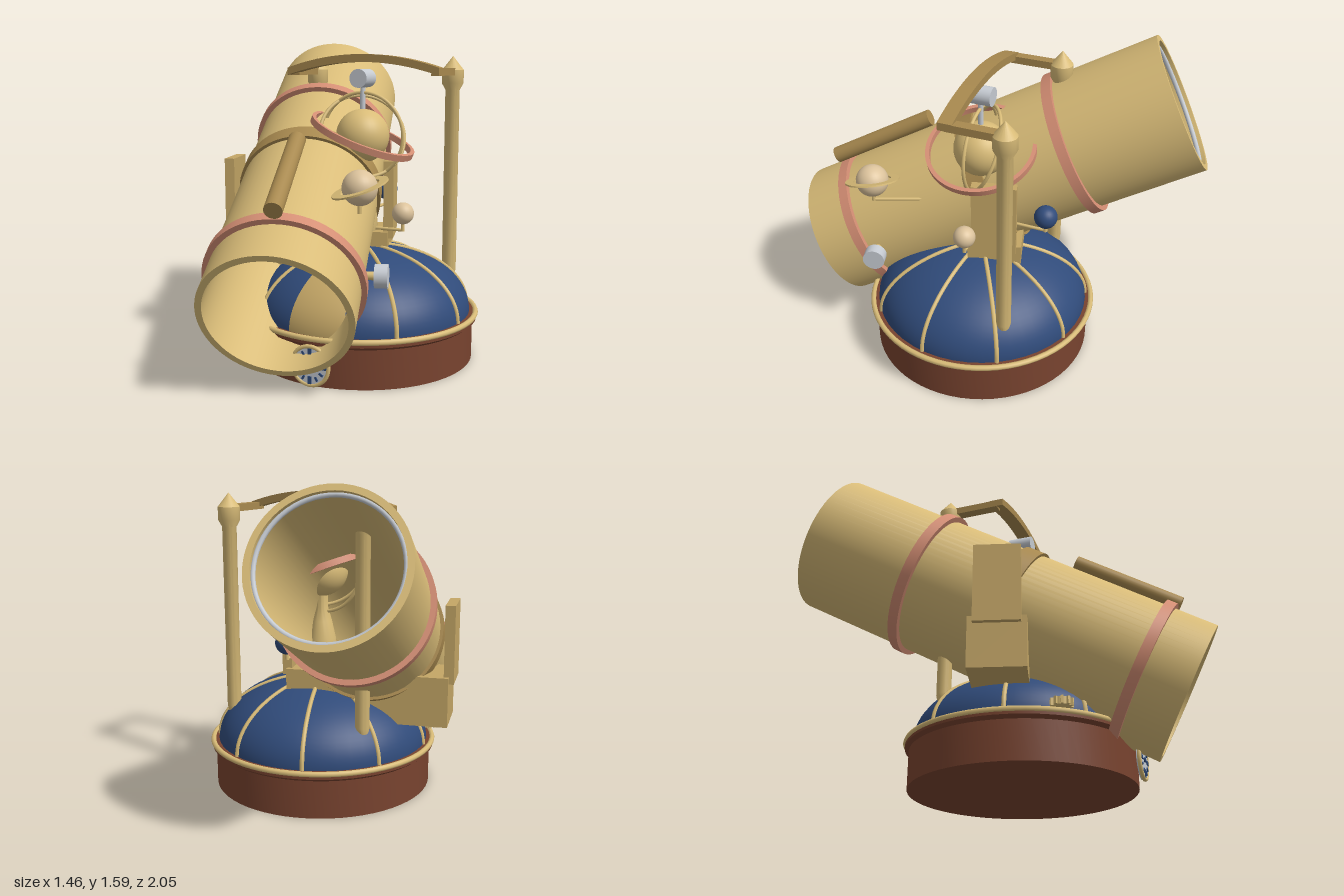
import * as THREE from 'three';
import { toCreasedNormals } from 'three/addons/utils/BufferGeometryUtils.js';

const mat = (name, color, side = THREE.FrontSide) => {
  const m = new THREE.MeshStandardMaterial({ color, side });
  m.name = name;
  return m;
};
const V = (x, y, z) => new THREE.Vector3(x, y, z);

export function createModel() {
  const gold = mat('gold', 0xd9bc78), brass = mat('dark brass', 0xa8894f), bronze = mat('mid brass', 0xc4a666);
  const copper = mat('copper', 0xd48e74), blue = mat('dome blue', 0x304b7a), wood = mat('mahogany', 0x78432f);
  const silver = mat('silver', 0xc6cbd2), cream = mat('cream', 0xdcc39c);

  const model = new THREE.Group();
  model.name = 'observatory';
  const add = (parent, name, geo, material, x = 0, y = 0, z = 0) => {
    const m = new THREE.Mesh(geo, material);
    m.name = name;
    m.position.set(x, y, z);
    parent.add(m);
    return m;
  };
  const group = (name, x, y, z, parent = model) => {
    const g = new THREE.Group();
    g.name = name;
    g.position.set(x, y, z);
    parent.add(g);
    return g;
  };
  const lathe = (pts, seg = 48) =>
    toCreasedNormals(new THREE.LatheGeometry(pts.map(p => new THREE.Vector2(...p)), seg), 0.6);
  // Flat hoop around the y axis
  const hoop = (inner, outer, h, seg = 64) =>
    lathe([[inner, -h / 2], [outer, -h / 2], [outer, h / 2], [inner, h / 2], [inner, -h / 2]], seg);
  const rod = (a, b, r) => new THREE.TubeGeometry(new THREE.LineCurve3(a, b), 1, r, 8);

  // Round base and ribbed dome
  const CX = 0.13;
  const house = group('base', CX, 0, 0);
  add(house, 'drum', lathe([[0, 0], [0.565, 0], [0.565, 0.19], [0.585, 0.205], [0.585, 0.235], [0, 0.235]], 64), wood);
  add(house, 'baseRim', new THREE.TorusGeometry(0.58, 0.014, 8, 72).rotateX(Math.PI / 2), gold, 0, 0.23, 0);
  const DR = 0.55, DH = 0.33, DY = 0.235;
  const domeShell = (phi, len, s) =>
    new THREE.SphereGeometry(1, 48, 20, phi, len, 0, Math.PI / 2).scale(DR * s, DH * s, DR * s);
  add(house, 'dome', domeShell(0, Math.PI * 2, 1), blue, 0, DY, 0);
  // Sphere angle PI/2 points to the front
  add(house, 'domeShutter', domeShell(Math.PI / 2 - 0.26, 0.52, 1.008), bronze, 0, DY, 0);
  for (let i = 1; i < 9; i++) {
    const pts = [];
    for (let k = 0; k <= 12; k++) {
      const t = (k / 12) * Math.PI / 2;
      pts.push(V(0, DH * Math.sin(t), DR * Math.cos(t)));
    }
    const rib = add(house, 'domeRib', new THREE.TubeGeometry(new THREE.CatmullRomCurve3(pts), 24, 0.011, 6), gold, 0, DY, 0);
    rib.rotation.y = i * Math.PI * 2 / 9;
  }

  // Clock dial on the front
  const dial = group('dial', CX, 0.11, 0.595);
  add(dial, 'dialFace', new THREE.CylinderGeometry(0.092, 0.092, 0.02, 40).rotateX(Math.PI / 2), silver);
  add(dial, 'dialRim', new THREE.TorusGeometry(0.092, 0.01, 8, 40), gold, 0, 0, 0.005);
  for (let i = 0; i < 12; i++) {
    const a = i * Math.PI / 6, big = i % 3 === 0;
    const tick = add(dial, 'dialMark', new THREE.BoxGeometry(big ? 0.017 : 0.01, big ? 0.036 : 0.022, 0.006), blue,
      Math.sin(a) * 0.066, Math.cos(a) * 0.066, 0.012);
    tick.rotation.z = -a;
  }
  add(dial, 'dialHub', new THREE.CylinderGeometry(0.012, 0.012, 0.012, 16).rotateX(Math.PI / 2), blue, 0, 0, 0.012);

  // Small gear beside the dome
  const gear = group('gear', -0.33, 0.268, 0.34);
  add(gear, 'gearDisc', new THREE.CylinderGeometry(0.042, 0.042, 0.035, 24), gold);
  for (let i = 0; i < 10; i++) {
    const a = i * Math.PI / 5;
    add(gear, 'gearTooth', new THREE.BoxGeometry(0.012, 0.035, 0.016), gold, Math.sin(a) * 0.046, 0, Math.cos(a) * 0.046).rotation.y = a;
  }

  // Telescope, local z along the barrel
  const YAW = 0.275, PITCH = 0.463, L = 0.985;
  const scope = group('telescope', -0.155, 0.835, 0);
  scope.rotation.set(PITCH, YAW, 0, 'YXZ');
  const alongZ = g => g.rotateX(Math.PI / 2);
  add(scope, 'barrel', alongZ(lathe([[0.32, -L], [0.35, -L], [0.35, L], [0.32, L], [0.32, -L]], 64)), gold);
  add(scope, 'middleBand', alongZ(hoop(0.345, 0.365, 0.09)), brass, 0, 0, 0.04);
  for (const z of [0.75, -0.42]) add(scope, 'copperBand', alongZ(hoop(0.345, 0.376, 0.05)), copper, 0, 0, z);
  add(scope, 'rearLensRing', new THREE.TorusGeometry(0.314, 0.012, 8, 64), silver, 0, 0, -L + 0.03);
  add(scope, 'finderScope', alongZ(new THREE.CylinderGeometry(0.042, 0.042, 0.57, 24)), brass, 0, 0.42, 0.49);
  add(scope, 'focusShaft', new THREE.CylinderGeometry(0.02, 0.02, 0.08, 12).rotateZ(Math.PI / 2), gold, 0.38, 0, 0.68);
  add(scope, 'focusKnob', new THREE.CylinderGeometry(0.055, 0.055, 0.06, 24).rotateZ(Math.PI / 2), silver, 0.43, 0, 0.68);

  // Fork that carries the barrel
  const fork = group('fork', -0.155, 0, 0);
  fork.rotation.y = YAW;
  add(fork, 'forkBlock', new THREE.BoxGeometry(0.82, 0.25, 0.27), bronze, 0, 0.51, 0);
  for (const s of [-1, 1]) add(fork, 'forkArm', new THREE.BoxGeometry(0.05, 0.39, 0.22), bronze, s * 0.41, 0.795, 0);

  // Two posts with brackets and an arch
  const frame = group('frame', CX, 0, 0);
  for (const s of [-1, 1]) {
    add(frame, 'post', lathe([[0, 0.37], [0.03, 0.38], [0.036, 0.41], [0.036, 1.34], [0.055, 1.375], [0.055, 1.44], [0, 1.51]], 20),
      gold, s * 0.38, 0, -0.27);
    add(frame, 'bracket', new THREE.BoxGeometry(0.05, 0.036, 0.27), brass, s * 0.38, 1.432, -0.135);
  }
  const arch = new THREE.Shape();
  arch.moveTo(-0.405, 1.415);
  arch.quadraticCurveTo(0, 1.545, 0.405, 1.415);
  arch.lineTo(0.405, 1.452);
  arch.quadraticCurveTo(0, 1.585, -0.405, 1.452);
  arch.closePath();
  add(frame, 'arch', toCreasedNormals(
    new THREE.ExtrudeGeometry(arch, { depth: 0.07, bevelEnabled: false, curveSegments: 20 }), 0.5), brass, 0, 0, -0.037);

  // Armillary sphere above a turned pedestal
  const GY = 1.115;
  const arm = group('armillary', CX, 0, 0);
  add(arm, 'pedestal', lathe([[0, 0.54], [0.045, 0.55], [0.06, 0.6], [0.08, 0.66], [0.07, 0.76], [0.05, 0.85], [0.03, 0.92], [0.03, 1.0]], 28), gold);
  add(arm, 'globe', new THREE.SphereGeometry(0.134, 36, 24), gold, 0, GY, 0);
  add(arm, 'meridianRing', new THREE.TorusGeometry(0.215, 0.009, 8, 64), gold, 0, GY, 0);
  add(arm, 'tiltedRing', new THREE.TorusGeometry(0.215, 0.009, 8, 64), gold, 0, GY, 0).rotation.set(-0.4, 0.6, 0, 'YXZ');
  add(arm, 'copperRing', hoop(0.252, 0.272, 0.032), copper, 0, GY, 0).rotation.z = -0.385;
  add(arm, 'lampStem', new THREE.CylinderGeometry(0.013, 0.013, 0.14, 12), silver, 0, 1.305, 0);
  add(arm, 'lamp', new THREE.CylinderGeometry(0.046, 0.046, 0.125, 28).rotateX(Math.PI / 2), silver, 0, 1.4, 0);

  // Planets on thin arms
  const planet = (name, x, y, z, r, armY, material) => {
    const g = group(name, 0, 0, 0);
    add(g, 'planetBall', new THREE.SphereGeometry(r, 28, 20), material, x, y, z);
    add(g, 'planetStem', rod(V(x, armY - 0.006, z), V(x, y, z), 0.01), gold);
    add(g, 'planetArm', rod(V(CX, armY, 0), V(x, armY, z), 0.008), gold);
    return g;
  };
  const ringed = planet('ringedPlanet', 0.33, 0.93, 0.5, 0.081, 0.82, cream);
  add(ringed, 'planetRing', hoop(0.092, 0.133, 0.008, 48), gold, 0.33, 0.93, 0.5).rotation.set(0.2, 0, 0.27);
  planet('creamPlanet', 0.35, 0.735, 0, 0.055, 0.65, cream);
  planet('bluePlanet', 0.13, 0.8, -0.34, 0.058, 0.72, blue);
  planet('brassPlanet', 0.14, 0.69, 0.13, 0.033, 0.64, brass);

  return model;
}
